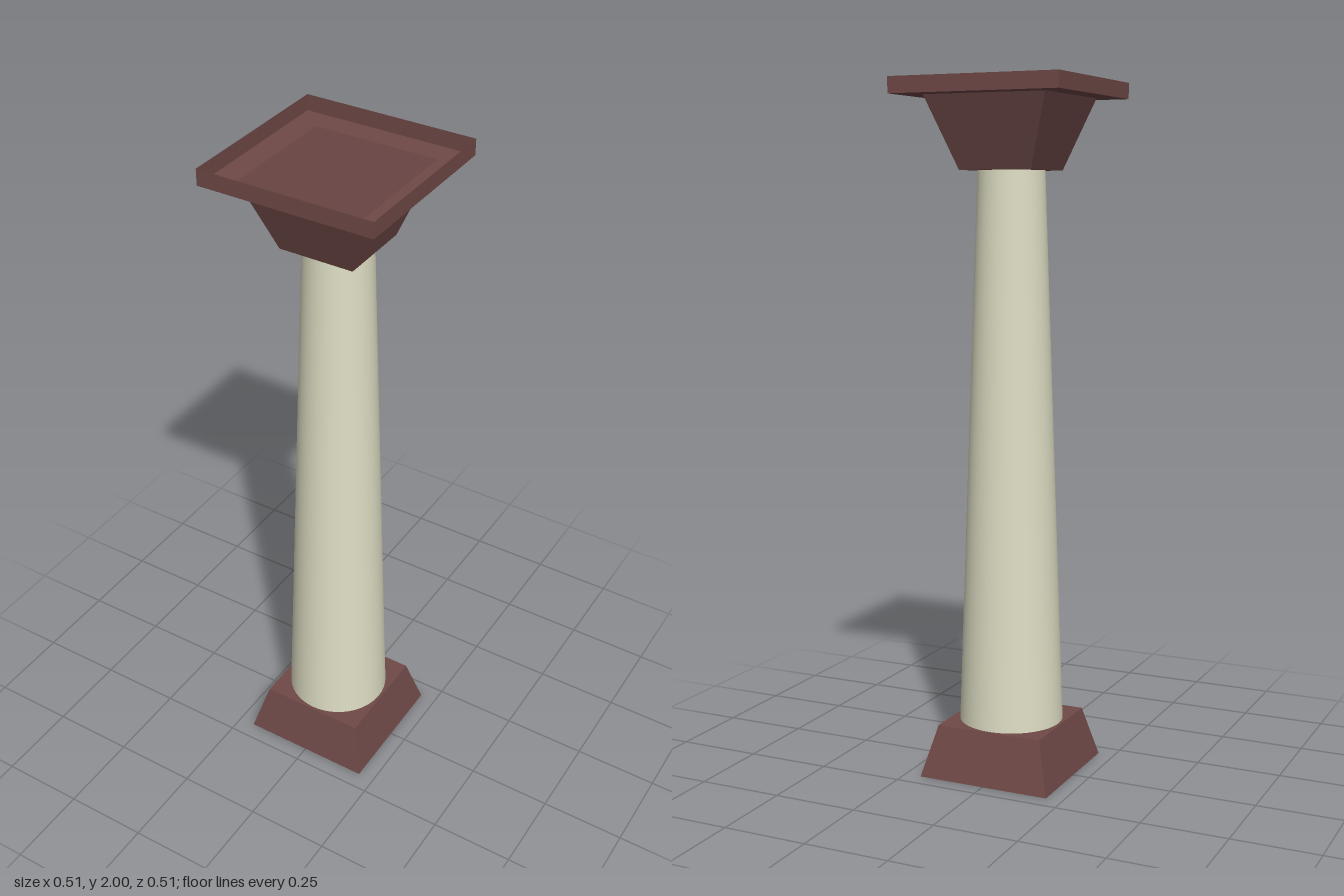
import * as THREE from 'three';

const redStone = new THREE.MeshStandardMaterial({ color: 0x6f4947, side: THREE.DoubleSide });
redStone.name = 'redStone';
const paleStone = new THREE.MeshStandardMaterial({ color: 0xdfdec4 });
paleStone.name = 'paleStone';

// Thin square shell: profile of [halfWidth, y] points, swept with four flat sides
function squareShell(name, profile) {
  const points = profile.map(([half, y]) => new THREE.Vector2(half * Math.SQRT2, y));
  const geometry = new THREE.LatheGeometry(points, 4, Math.PI / 4).toNonIndexed();
  geometry.computeVertexNormals();
  const mesh = new THREE.Mesh(geometry, redStone);
  mesh.name = name;
  return mesh;
}

export function createModel() {
  const column = new THREE.Group();
  column.name = 'column';

  // Sloped foot, hollow underneath and closed on top
  column.add(squareShell('base', [[0.2, 0], [0.16, 0.15], [0, 0.15]]));

  // Tapering round shaft
  const shaft = new THREE.Mesh(
    new THREE.CylinderGeometry(0.096, 0.152, 1.6, 48, 1, true), paleStone);
  shaft.name = 'shaft';
  shaft.position.y = 0.95;
  column.add(shaft);

  // Open capital: floor, flared funnel, flat ledge and upright rim
  column.add(squareShell('capital', [
    [0, 1.75], [0.11, 1.75], [0.183, 1.954], [0.254, 1.954], [0.254, 2],
  ]));

  return column;
}
